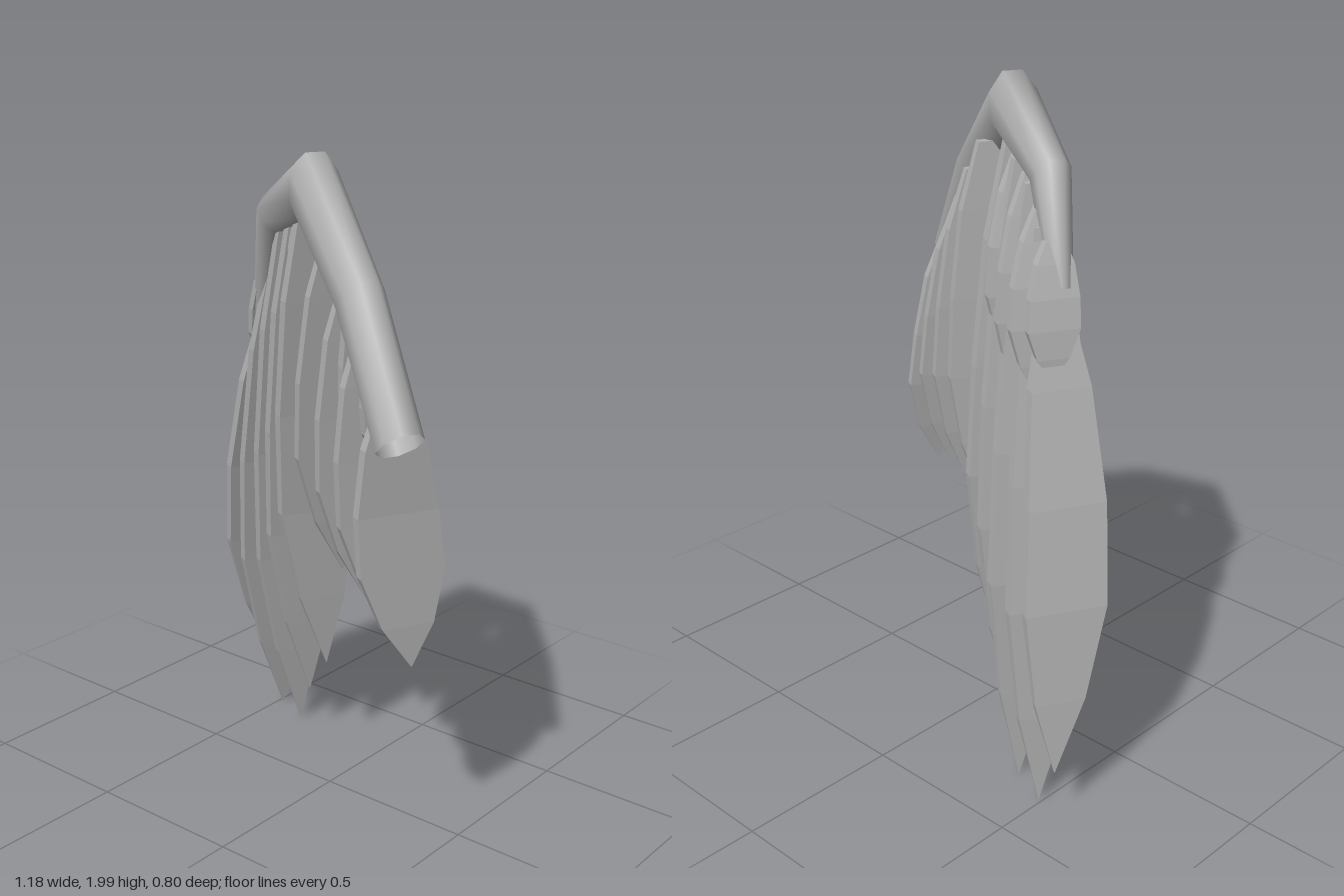
import * as THREE from 'three';

const V = (x, y, z) => new THREE.Vector3(x, y, z);
// The wing lies in an upright plane; feathers are broad across that plane.
const ALONG = V(0.886, 0, 0.463);
const ACROSS = V(-0.463, 0, 0.886);

// Skin a list of rings (equal point counts), optionally closing either end.
function loft(rings, capStart, capEnd, faceted) {
  const n = rings[0].length, pos = [], index = [];
  rings.forEach(ring => ring.forEach(p => pos.push(p.x, p.y, p.z)));
  for (let r = 0; r < rings.length - 1; r++) {
    for (let i = 0; i < n; i++) {
      const a = r * n + i, b = r * n + (i + 1) % n;
      index.push(a, b, b + n, a, b + n, a + n);
    }
  }
  const last = (rings.length - 1) * n;
  for (let i = 1; i < n - 1; i++) {
    if (capStart) index.push(0, i + 1, i);
    if (capEnd) index.push(last, last + i, last + i + 1);
  }
  let geo = new THREE.BufferGeometry();
  geo.setAttribute('position', new THREE.Float32BufferAttribute(pos, 3));
  geo.setIndex(index);
  if (faceted) geo = geo.toNonIndexed();
  geo.computeVertexNormals();
  return geo;
}

// Bent, tapering arm with an open shoulder end
function armGeometry() {
  const joints = [
    [0.51, 1.31, 0.08], [0.28, 1.645, 0.083], [-0.005, 1.9, 0.097],
    [-0.27, 1.775, 0.07], [-0.385, 1.36, 0.03],
  ];
  const pts = joints.map(([x, y]) => V(x, y, 0.07 + 0.523 * x));
  const rings = pts.map((p, k) => {
    const t = V(0, 0, 0);
    if (k > 0) t.add(p.clone().sub(pts[k - 1]).normalize());
    if (k < pts.length - 1) t.add(pts[k + 1].clone().sub(p).normalize());
    const u = ACROSS.clone().cross(t.normalize());
    const r = joints[k][2];
    return Array.from({ length: 8 }, (_, i) => {
      const a = (i + 0.5) * Math.PI / 4;
      return p.clone().addScaledVector(u, r * Math.cos(a) * 1.05)
        .addScaledVector(ACROSS, r * Math.sin(a) * 0.8);
    });
  });
  return loft(rings, false, true, false);
}

// Blade following a curve: [position along, share of width, share of thickness]
const BLADE = [[0, 0.3, 0.8], [0.18, 0.72, 1], [0.42, 0.95, 1], [0.64, 1, 0.9], [0.84, 0.62, 0.6], [1, 0.01, 0.05]];
function featherGeometry(root, mid, tip, width, thick) {
  const curve = new THREE.CatmullRomCurve3([V(...root), V(...mid), V(...tip)]);
  const rings = BLADE.map(([t, w, h]) => {
    const p = curve.getPointAt(t);
    return [[1, -1], [1, 1], [-1, 1], [-1, -1]].map(([a, c]) => p.clone()
      .addScaledVector(ALONG, a * h * thick / 2)
      .addScaledVector(ACROSS, c * w * width / 2));
  });
  return loft(rings, true, true, true);
}

export function createModel() {
  const wing = new THREE.Group();
  wing.name = 'wing';
  const grey = new THREE.MeshStandardMaterial({ color: 0xb2b2b2, side: THREE.DoubleSide });
  grey.name = 'grey';

  const add = (name, geo) => {
    const mesh = new THREE.Mesh(geo, grey);
    mesh.name = name;
    wing.add(mesh);
  };
  add('arm', armGeometry());

  // root, middle and tip of each feather
  const sets = {
    innerFeather: { width: 0.255, thick: 0.035, list: [
      [[0.42, 1.41, 0.25], [0.42, 1.05, 0.225], [0.46, 0.62, 0.2]],
      [[0.29, 1.56, 0.18], [0.295, 1.1, 0.15], [0.32, 0.68, 0.12]],
      [[0.18, 1.68, 0.11], [0.16, 1.1, 0.07], [0.17, 0.7, 0.04]],
      [[0.07, 1.79, 0.05], [0.02, 1.1, -0.005], [0.01, 0.72, -0.05]],
    ] },
    outerFeather: { width: 0.24, thick: 0.042, list: [
      [[-0.07, 1.82, 0.01], [-0.135, 0.95, -0.09], [-0.13, 0.33, -0.14]],
      [[-0.14, 1.79, -0.03], [-0.235, 0.85, -0.15], [-0.26, 0.17, -0.21]],
      [[-0.21, 1.74, -0.06], [-0.325, 0.8, -0.195], [-0.36, 0.0, -0.28]],
      [[-0.28, 1.64, -0.1], [-0.42, 0.8, -0.225], [-0.485, 0.0, -0.33]],
      [[-0.35, 1.46, -0.14], [-0.505, 0.8, -0.25], [-0.58, 0.16, -0.37]],
    ] },
    covertFeather: { width: 0.15, thick: 0.035, list: [
      [[0.35, 1.5, 0.22], [0.355, 1.33, 0.19], [0.36, 1.16, 0.17]],
      [[0.22, 1.63, 0.14], [0.215, 1.38, 0.11], [0.215, 1.16, 0.1]],
      [[-0.1, 1.8, 0], [-0.16, 1.5, -0.1], [-0.19, 1.2, -0.13]],
      [[-0.18, 1.76, -0.05], [-0.235, 1.45, -0.14], [-0.265, 1.15, -0.18]],
      [[-0.26, 1.69, -0.09], [-0.31, 1.45, -0.17], [-0.35, 1.2, -0.21]],
      [[-0.32, 1.62, -0.11], [-0.365, 1.45, -0.16], [-0.4, 1.25, -0.2]],
    ] },
  };
  for (const [name, { width, thick, list }] of Object.entries(sets)) {
    list.forEach(([root, mid, tip], i) =>
      add(name + (i + 1), featherGeometry(root, mid, tip, width, thick)));
  }
  return wing;
}
